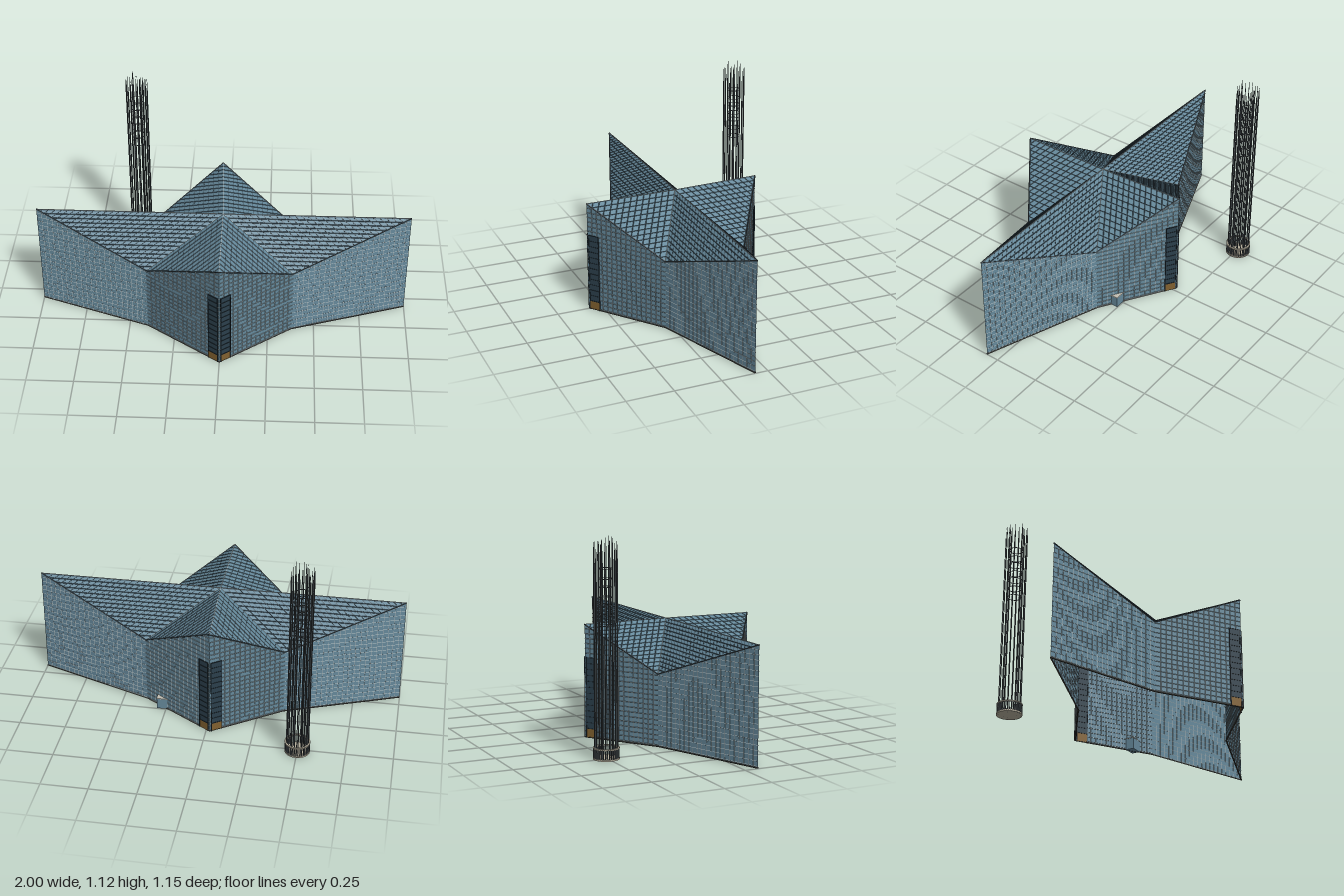
import * as THREE from 'three';
import { mergeGeometries } from 'three/addons/utils/BufferGeometryUtils.js';

const mat = (color) => new THREE.MeshStandardMaterial({ color, side: THREE.DoubleSide, flatShading: true });
const V = (x, y, z) => new THREE.Vector3(x, y, z);
const TOP = 0.605, LOW = 0.38;

// Star-shaped plan, alternating tip and notch, running from +x towards +z
const PLAN = [[1, 0.07], [0.38, 0.285], [0, 0.572], [-0.4, 0.29], [-1, 0.07], [-0.385, -0.165], [-0.02, -0.415], [0.37, -0.165]];
const CENTRE = V(0, TOP, 0.07);

const foot = (i) => V(PLAN[i % 8][0], 0, PLAN[i % 8][1]);
const head = (i) => foot(i).setY(i % 2 ? LOW : TOP);

function faces(triangles) {
  const g = new THREE.BufferGeometry().setFromPoints(triangles.flat());
  g.computeVertexNormals();
  return g;
}

// Square bar from p to q
function bar(p, q, w) {
  const d = q.clone().sub(p);
  const g = new THREE.BoxGeometry(w, d.length(), w);
  g.applyQuaternion(new THREE.Quaternion().setFromUnitVectors(V(0, 1, 0), d.normalize()));
  const m = p.clone().add(q).multiplyScalar(0.5);
  return g.translate(m.x, m.y, m.z);
}

function add(group, name, geometry, material) {
  const mesh = new THREE.Mesh(geometry, material);
  mesh.name = name;
  group.add(mesh);
  return mesh;
}

function buildHall() {
  const hall = new THREE.Group();
  hall.name = 'hall';
  const walls = [], roof = [], grid = [], seams = [], trim = [], plinth = [];

  for (let i = 0; i < 8; i++) {
    const a = foot(i), b = foot(i + 1), at = head(i), bt = head(i + 1);
    walls.push([a, at, bt], [a, bt, b]);
    roof.push([CENTRE, bt, at]);

    // Wall grid, cut off along the sloping eave
    const tip = i % 2 ? b : a, notch = i % 2 ? a : b;
    const length = a.distanceTo(b), columns = Math.round(length / 0.03);
    for (let k = 1; k < columns; k++) {
      const p = notch.clone().lerp(tip, k / columns);
      grid.push(bar(p, p.clone().setY(LOW + (TOP - LOW) * k / columns), 0.0022));
    }
    for (let y = 0.01; y < TOP - 0.01; y += 0.026) {
      const start = Math.max(0, (y - LOW) / (TOP - LOW));
      grid.push(bar(notch.clone().lerp(tip, start).setY(y), tip.clone().setY(y), 0.0022));
    }

    // Roof seams parallel to the ridge and to the valley
    const ridgeEnd = i % 2 ? bt : at, valleyEnd = i % 2 ? at : bt;
    const rows = 14, cols = Math.round(CENTRE.distanceTo(ridgeEnd) / 0.035);
    for (let k = 1; k < rows; k++) {
      const t = k / rows;
      seams.push(bar(CENTRE.clone().lerp(valleyEnd, t), ridgeEnd.clone().lerp(valleyEnd, t), 0.003));
    }
    for (let k = 1; k < cols; k++) {
      const t = k / cols;
      seams.push(bar(CENTRE.clone().lerp(ridgeEnd, t), valleyEnd.clone().lerp(ridgeEnd, t), 0.003));
    }

    trim.push(bar(at, bt, 0.005));
    grid.push(bar(CENTRE, head(i), 0.003));
    plinth.push(bar(a.clone().setY(0.003), b.clone().setY(0.003), 0.006));
  }
  add(hall, 'walls', faces(walls), mat(0x66899b));
  add(hall, 'roof', faces(roof), mat(0x66899b));
  add(hall, 'wallGrid', mergeGeometries(grid), mat(0xa9b4b6));
  add(hall, 'roofSeams', mergeGeometries(seams), mat(0x40535e));
  add(hall, 'eaveTrim', mergeGeometries(trim), mat(0x3a454b));
  add(hall, 'plinth', mergeGeometries(plinth), mat(0x4a4a45));
  return hall;
}

// Tall glazed entrance folded around the front and back tips
function buildEntrance(name, tipIndex) {
  const entrance = new THREE.Group();
  entrance.name = name;
  const glass = mat(0x2b3f4b), frame = mat(0x1e2a32), wood = mat(0x80602f);
  for (const side of [1, 7]) {
    const tip = foot(tipIndex);
    const d = foot(tipIndex + side).sub(tip).normalize();
    const leaf = new THREE.Group();
    leaf.name = side === 1 ? 'entranceLeafA' : 'entranceLeafB';
    leaf.position.copy(tip).addScaledVector(d, 0.039);
    leaf.rotation.y = Math.atan2(-d.z, d.x);
    const box = (w, h, t, y) => new THREE.BoxGeometry(w, h, t).translate(0, y, 0);
    add(leaf, 'glazing', box(0.062, 0.38, 0.007, 0.24), glass);
    add(leaf, 'door', box(0.062, 0.048, 0.007, 0.026), wood);
    const bars = [];
    for (let y = 0.05; y <= 0.44; y += 0.0316) bars.push(box(0.064, 0.003, 0.011, y));
    for (const x of [-0.03, 0.03]) bars.push(box(0.003, 0.43, 0.011, 0.215).translate(x, 0, 0));
    add(leaf, 'doorFrame', mergeGeometries(bars), frame);
    entrance.add(leaf);
  }
  return entrance;
}

function buildTower() {
  const tower = new THREE.Group();
  tower.name = 'rodTower';
  tower.position.set(-0.5, 0, -0.508);
  const steel = mat(0x50585c), stone = mat(0xb5ae9c);
  let seed = 7;
  const random = () => (seed = (seed * 16807) % 2147483647) / 2147483647;

  // Base slab and railing
  add(tower, 'baseSlab', new THREE.CylinderGeometry(0.067, 0.067, 0.008, 32).translate(0, 0.004, 0), stone);
  const posts = [];
  for (let i = 0; i < 40; i++) {
    const a = i / 40 * Math.PI * 2;
    posts.push(new THREE.BoxGeometry(0.004, 0.052, 0.004).rotateY(-a).translate(0.064 * Math.cos(a), 0.03, 0.064 * Math.sin(a)));
  }
  add(tower, 'basePosts', mergeGeometries(posts), steel);
  const rim = new THREE.LatheGeometry([[0.056, 0.054], [0.067, 0.054], [0.067, 0.06], [0.056, 0.06], [0.056, 0.054]].map((p) => new THREE.Vector2(...p)), 32);
  add(tower, 'baseRim', rim, stone);

  // Two circles of rods of uneven height with thin tips
  const rods = [];
  for (const [count, r, min, max] of [[20, 0.058, 1.03, 1.1], [10, 0.036, 0.99, 1.12]]) {
    for (let i = 0; i < count; i++) {
      const a = (i + 0.5) / count * Math.PI * 2, x = r * Math.cos(a), z = r * Math.sin(a);
      const h = i === 2 ? max : min + (max - min) * random(), body = h - 0.07;
      rods.push(new THREE.CylinderGeometry(0.0027, 0.0027, body, 6).translate(x, body / 2, z));
      rods.push(new THREE.CylinderGeometry(0.0008, 0.0027, h - body, 6).translate(x, (h + body) / 2, z));
    }
  }
  add(tower, 'rods', mergeGeometries(rods), steel);

  const rings = [0.67, 0.72, 0.77, 0.81, 0.86, 0.9, 0.95].map((y) =>
    new THREE.TorusGeometry(0.036, 0.002, 5, 24).rotateX(Math.PI / 2).translate(0, y, 0));
  add(tower, 'innerRings', mergeGeometries(rings), steel);
  return tower;
}

export function createModel() {
  const model = new THREE.Group();
  model.name = 'starHall';
  model.add(buildHall(), buildEntrance('frontEntrance', 2), buildEntrance('backEntrance', 6), buildTower());

  // Small porch on the rear left wall
  add(model, 'porch', new THREE.BoxGeometry(0.07, 0.06, 0.047).translate(0.265, 0.03, -0.224), mat(0x66899b));
  add(model, 'porchRoof', new THREE.BoxGeometry(0.072, 0.004, 0.049).translate(0.265, 0.062, -0.224), mat(0xc4c0b4));
  return model;
}
